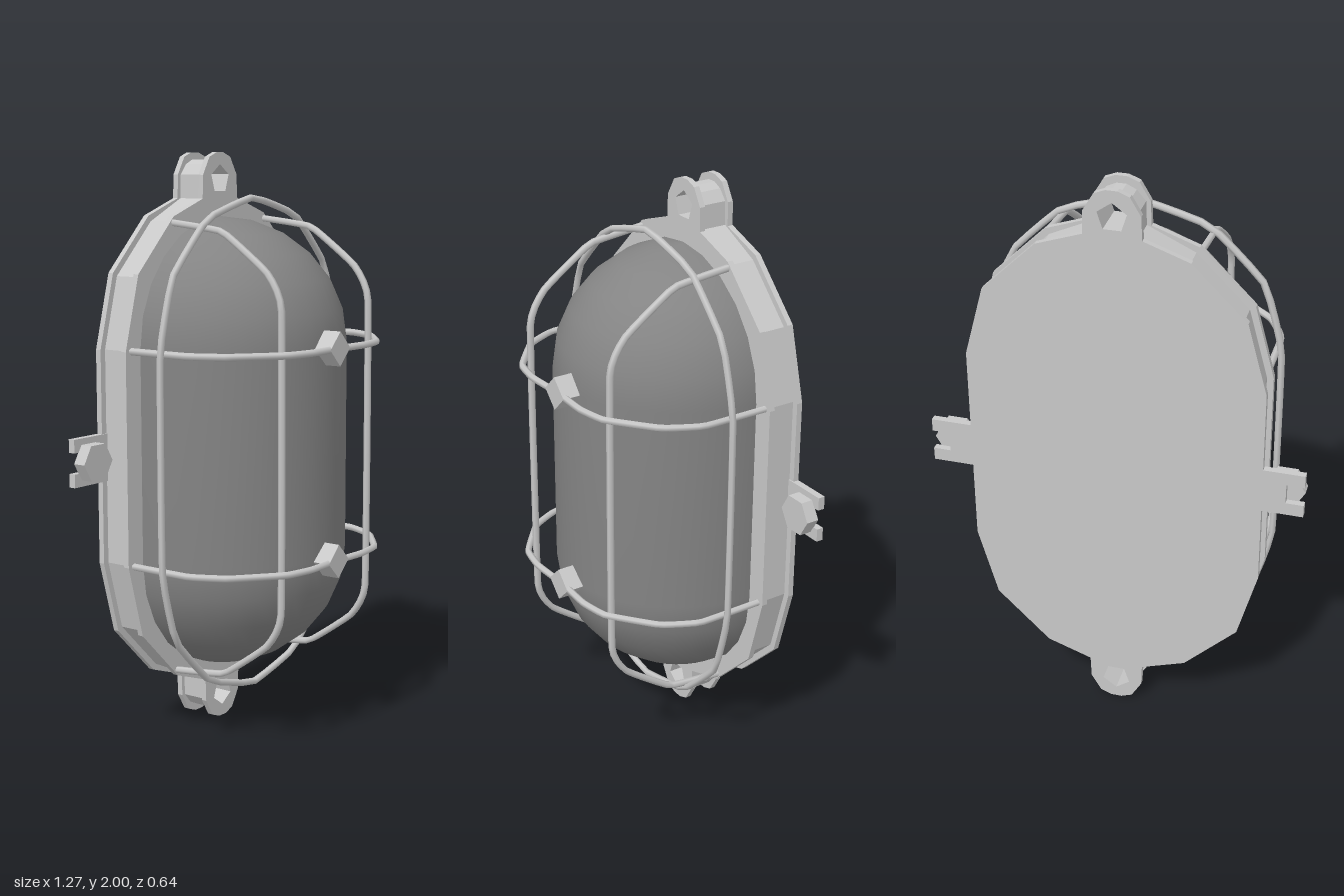
import * as THREE from 'three';

const metal = new THREE.MeshStandardMaterial({ color: 0xc8c8c8 });
metal.name = 'pale grey metal';
const glass = new THREE.MeshStandardMaterial({ color: 0x848484 });
glass.name = 'smoked glass';

const MID = 1;        // height of the lamp's centre
const STRAIGHT = 0.36; // half length of the straight sides

function add(group, name, geometry, material = metal) {
  const mesh = new THREE.Mesh(geometry, material);
  mesh.name = name;
  group.add(mesh);
  return mesh;
}

function extrude(shape, z0, z1) {
  const g = new THREE.ExtrudeGeometry(shape, { depth: z1 - z0, bevelEnabled: false });
  g.translate(0, 0, z0);
  return g;
}

// Flat-faced prism along z
function prism(radius, z0, z1, sides, turn = 0) {
  let g = new THREE.CylinderGeometry(radius, radius, z1 - z0, sides);
  g.rotateY(turn);
  g.rotateX(Math.PI / 2);
  g.translate(0, 0, (z0 + z1) / 2);
  g = g.toNonIndexed();
  g.computeVertexNormals();
  return g;
}

// Point on the rounded end, relative to the lamp's centre
const onEnd = (r, deg) => {
  const a = THREE.MathUtils.degToRad(deg);
  return new THREE.Vector2(r * Math.cos(a), STRAIGHT + r * Math.sin(a));
};

// Long rounded outline with a drilled lug at each end
function plate(r, lugWidth, lugTop, z0, z1) {
  const lug = [[1, 0.845], [0.97, 0.925], [0.6, lugTop - 0.015], [0.2, lugTop]]
    .map(([x, y]) => new THREE.Vector2(x * lugWidth, y));
  const half = [
    ...[0, 30, 60].map(a => onEnd(r, a)),
    ...lug,
    ...lug.slice().reverse().map(p => new THREE.Vector2(-p.x, p.y)),
    ...[120, 150, 180].map(a => onEnd(r, a)),
  ];
  const outline = [...half, ...half.map(p => p.clone().negate())]
    .map(p => new THREE.Vector2(p.x, p.y + MID));
  const shape = new THREE.Shape(outline);
  for (const s of [1, -1]) {
    const hole = [];
    for (let i = 0; i < 5; i++) {
      const a = Math.PI / 2 + i * Math.PI * 2 / 5;
      hole.push(new THREE.Vector2(0.05 * Math.cos(a), MID + s * (0.91 + 0.05 * Math.sin(a))));
    }
    shape.holes.push(new THREE.Path(hole));
  }
  return extrude(shape, z0, z1);
}

// Bent round wire
function wire(points, closed = false) {
  const path = new THREE.CatmullRomCurve3(
    points.map(p => new THREE.Vector3(...p)), closed, 'catmullrom', 0.15);
  return new THREE.TubeGeometry(path, 64, 0.012, 6, closed);
}

export function createModel() {
  const model = new THREE.Group();
  model.name = 'bulkheadLamp';

  // Housing: two flanges around a slightly narrower body
  const housing = new THREE.Group();
  housing.name = 'housing';
  model.add(housing);
  add(housing, 'backFlange', plate(0.497, 0.095, 1.0, -0.325, -0.305));
  add(housing, 'housingBody', plate(0.475, 0.08, 0.975, -0.305, -0.215));
  add(housing, 'frontFlange', plate(0.497, 0.095, 1.0, -0.215, -0.195));

  // Slotted side brackets with hexagonal bolts
  const bracket = new THREE.Shape([
    [0.47, -0.08], [0.635, -0.08], [0.635, -0.035], [0.575, -0.035],
    [0.575, 0.035], [0.635, 0.035], [0.635, 0.08], [0.47, 0.08],
  ].map(p => new THREE.Vector2(...p)));
  for (const s of [1, -1]) {
    const side = s > 0 ? 'left' : 'right';
    const b = add(housing, side + 'Bracket', extrude(bracket, -0.325, -0.301));
    b.position.y = MID;
    if (s < 0) b.rotation.z = Math.PI;
    const bolt = add(housing, side + 'Bolt', prism(0.068, -0.303, -0.258, 6, Math.PI / 6));
    bolt.position.set(s * 0.567, MID, 0);
  }

  // Glass dome: half of a long capsule
  const profile = [];
  const steps = 6;
  for (const s of [-1, 1]) {
    for (let i = 0; i <= steps; i++) {
      const a = (s < 0 ? i - steps : i) / steps * Math.PI / 2;
      profile.push(new THREE.Vector2(
        Math.max(0, 0.425 * Math.cos(a)), s * STRAIGHT + 0.425 * Math.sin(a)));
    }
  }
  const domeGeometry = new THREE.LatheGeometry(profile, 20, -Math.PI / 2, Math.PI);
  domeGeometry.scale(1, 1, 0.45 / 0.425);
  domeGeometry.translate(0, MID, -0.2);
  add(model, 'glassDome', domeGeometry, glass);

  // Wire cage
  const cage = new THREE.Group();
  cage.name = 'wireCage';
  model.add(cage);

  const ring = [];
  for (const s of [1, -1]) {
    for (let a = 0; a <= 180; a += 30) {
      const p = onEnd(0.49, a);
      ring.push([s * p.x, MID + s * p.y, -0.055]);
    }
  }
  add(cage, 'cageRing', wire(ring, true));

  // Crosswise hoops and the posts that hold them
  const across = [[0.47, -0.2], [0.47, 0.04], [0.41, 0.16], [0.26, 0.28], [0.15, 0.302]];
  for (const s of [1, -1]) {
    const y = MID + s * STRAIGHT;
    const pts = [
      ...across.map(([x, z]) => [x, y, z]),
      [0, y, 0.295],
      ...across.slice().reverse().map(([x, z]) => [-x, y, z]),
    ];
    add(cage, s > 0 ? 'upperHoop' : 'lowerHoop', wire(pts));
    const post = add(cage, s > 0 ? 'upperPost' : 'lowerPost', prism(0.058, 0.22, 0.308, 4));
    post.position.y = y;
  }

  // Lengthwise hoops
  const along = [[0.77, -0.2], [0.745, 0.01], [0.62, 0.19], [0.5, 0.25]];
  for (const s of [1, -1]) {
    const x = s * 0.25;
    const pts = [
      ...along.map(([y, z]) => [x, MID + y, z]),
      ...along.slice().reverse().map(([y, z]) => [x, MID - y, z]),
    ];
    add(cage, s > 0 ? 'leftHoop' : 'rightHoop', wire(pts));
  }

  return model;
}
